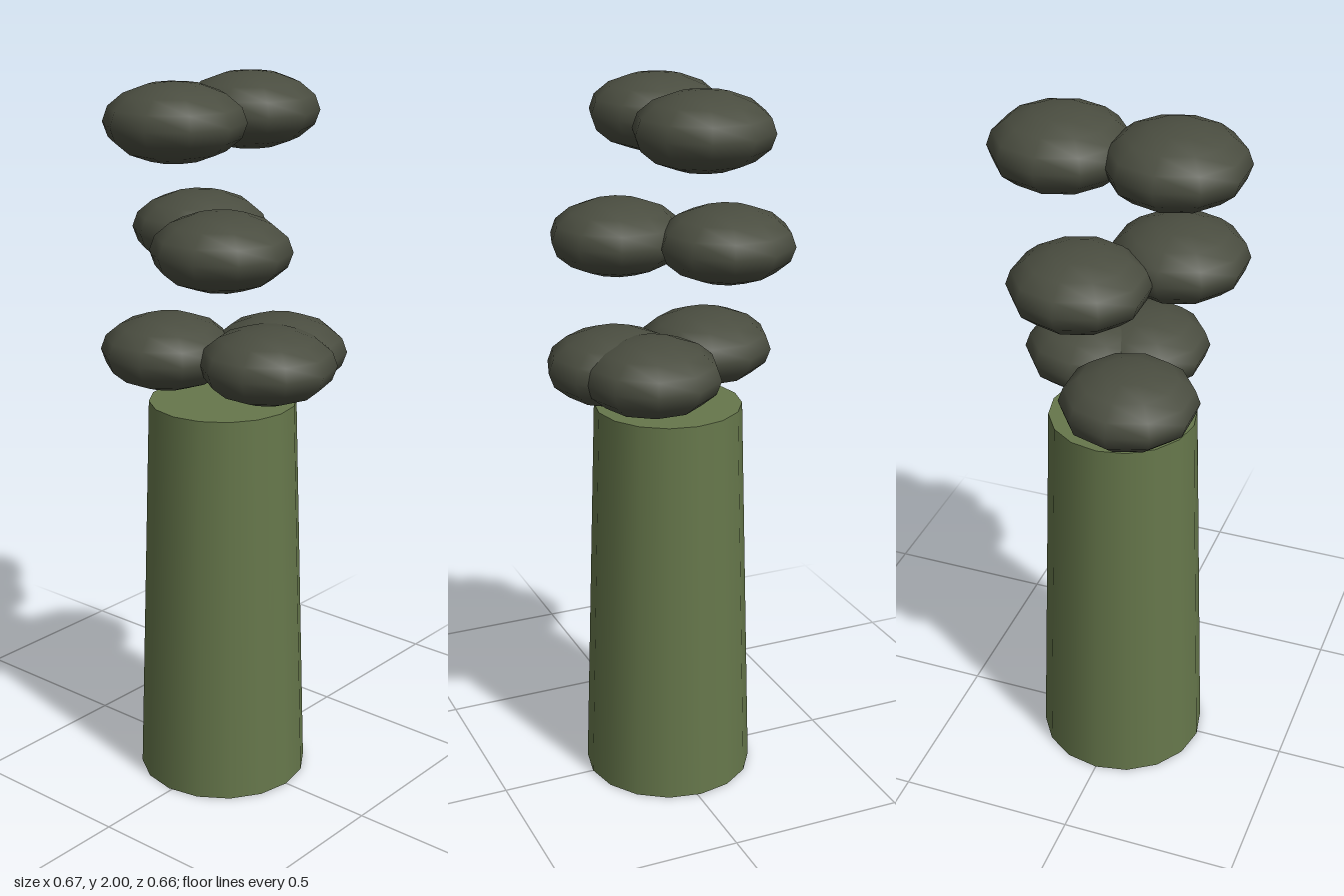
import * as THREE from 'three';

export function createModel() {
  const model = new THREE.Group();
  const stackMaterial = new THREE.MeshStandardMaterial({ color: 0x66774b });
  const smokeMaterial = new THREE.MeshStandardMaterial({ color: 0x4a4d40 });

  // Tapered chimney stack
  const height = 1.12;
  const stack = new THREE.Mesh(new THREE.CylinderGeometry(0.205, 0.24, height, 16), stackMaterial);
  stack.name = 'chimneyStack';
  stack.position.set(-0.01, height / 2, 0);
  model.add(stack);

  // Flattened smoke puffs in three layers: height, then [x, z] of each puff
  const layers = [
    [1.25, [[0.148, 0], [-0.15, 0.068], [0.088, -0.123]]],
    [1.573, [[0.088, 0.122], [-0.15, -0.068]]],
    [1.897, [[-0.042, 0.153], [-0.042, -0.153]]],
  ];
  const puffGeometry = new THREE.SphereGeometry(0.188, 10, 8).scale(1, 0.55, 1);
  const smoke = new THREE.Group();
  smoke.name = 'smoke';
  for (const [y, spots] of layers) {
    for (const [x, z] of spots) {
      const puff = new THREE.Mesh(puffGeometry, smokeMaterial);
      puff.name = 'smokePuff';
      puff.position.set(x, y, z);
      smoke.add(puff);
    }
  }
  model.add(smoke);
  return model;
}
